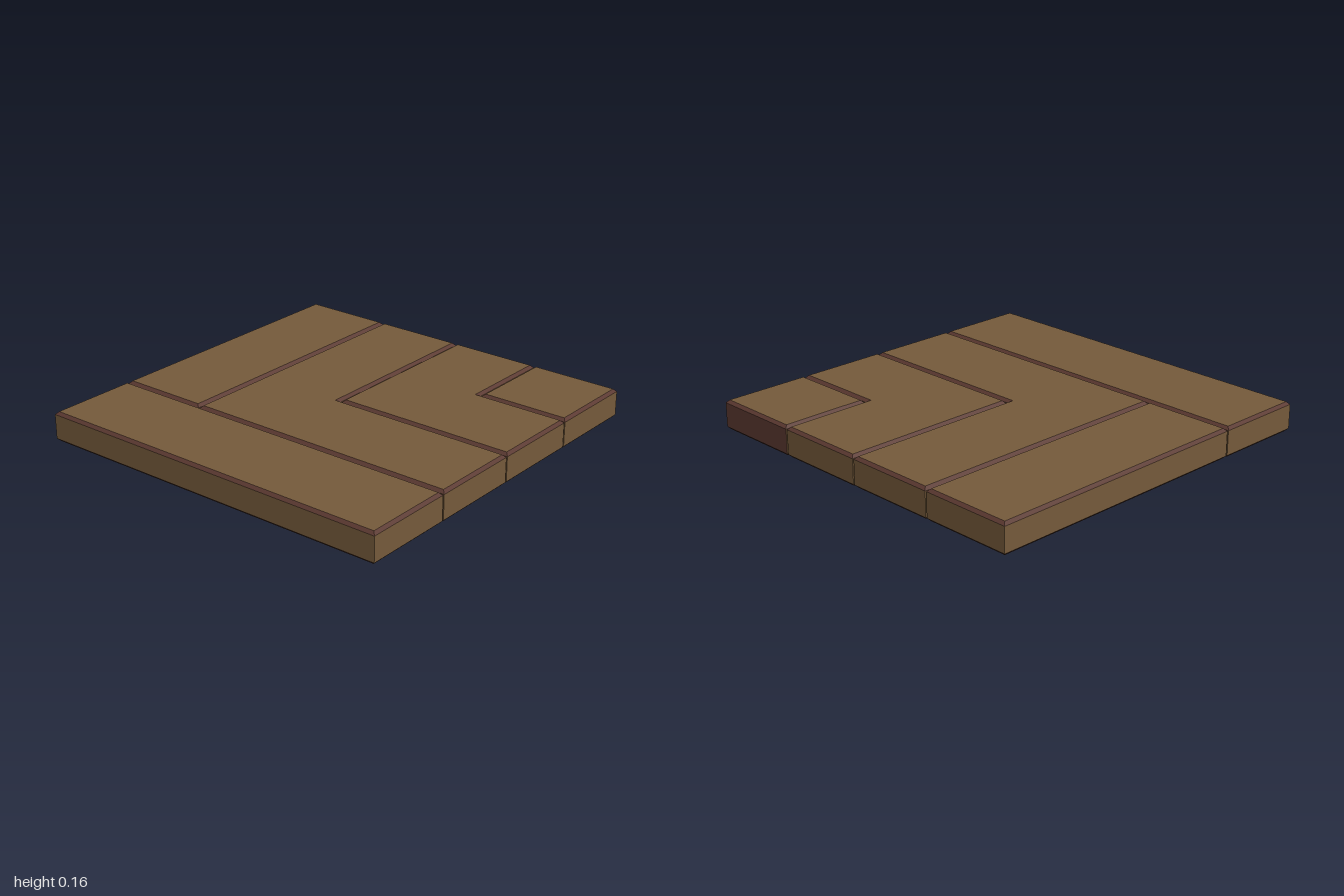
import * as THREE from 'three';

const HEIGHT = 0.16, BEVEL = 0.015, GAP = 0.008;
const WIDTH = (2 - 3 * GAP) / 4;

const wood = new THREE.MeshStandardMaterial({ color: 0x755a3b });
wood.name = 'brown board';
const trim = new THREE.MeshStandardMaterial({ color: 0x5b3931 });
trim.name = 'dark edge';

// Move every corner of a right-angled outline inwards by d
function inset(points, d) {
  return points.map((p, i) => {
    const prev = points[(i + points.length - 1) % points.length];
    const next = points[(i + 1) % points.length];
    const u = p.clone().sub(prev).normalize();
    const v = next.clone().sub(p).normalize();
    return new THREE.Vector2(p.x - (u.y + v.y) * d, p.y + (u.x + v.x) * d);
  });
}

// Flat slab with bevelled top and bottom rims; outline is [x, z] corners.
// darkSide is the index of a side drawn in the edge colour.
function slab(name, outline, darkSide = -1) {
  const outer = outline.map(([x, z]) => new THREE.Vector2(x, -z));
  const inner = inset(outer, BEVEL);
  const rings = [[inner, 0], [outer, BEVEL], [outer, HEIGHT - BEVEL], [inner, HEIGHT]];
  const brown = [], dark = [];
  const at = (r, i) => {
    const p = rings[r][0][i % outer.length];
    return [p.x, rings[r][1], -p.y];
  };
  // Lower bevel, side wall, upper bevel
  for (let r = 0; r < 3; r++) {
    for (let i = 0; i < outer.length; i++) {
      const a = at(r, i), b = at(r, i + 1), c = at(r + 1, i + 1), d = at(r + 1, i);
      const target = r === 1 && i !== darkSide ? brown : dark;
      target.push(...a, ...b, ...c, ...a, ...c, ...d);
    }
  }
  // Top and bottom caps
  for (const [i, j, k] of THREE.ShapeUtils.triangulateShape(inner, [])) {
    brown.push(...at(3, i), ...at(3, j), ...at(3, k));
    brown.push(...at(0, k), ...at(0, j), ...at(0, i));
  }
  const geometry = new THREE.BufferGeometry();
  geometry.setAttribute('position', new THREE.Float32BufferAttribute([...brown, ...dark], 3));
  geometry.addGroup(0, brown.length / 3, 0);
  geometry.addGroup(brown.length / 3, dark.length / 3, 1);
  geometry.computeVertexNormals();
  const mesh = new THREE.Mesh(geometry, [wood, trim]);
  mesh.name = name;
  return mesh;
}

const rect = (x0, x1, z0, z1) => [[x0, z1], [x1, z1], [x1, z0], [x0, z0]];
const corner = (a, b) => [[a, 1], [b, 1], [b, b], [1, b], [1, a], [a, a]];

export function createModel() {
  const model = new THREE.Group();
  model.name = 'panelledSlab';
  const start = (i) => -1 + i * (WIDTH + GAP);
  const end = (i) => start(i) + WIDTH;

  model.add(
    slab('leftPlank', rect(start(0), end(0), -1, 1)),
    slab('backPlank', rect(start(1), 1, start(0), end(0))),
    slab('outerCornerPiece', corner(start(1), end(1))),
    slab('innerCornerPiece', corner(start(2), end(2))),
    slab('cornerTile', rect(start(3), 1, start(3), 1), 1),
  );
  return model;
}
